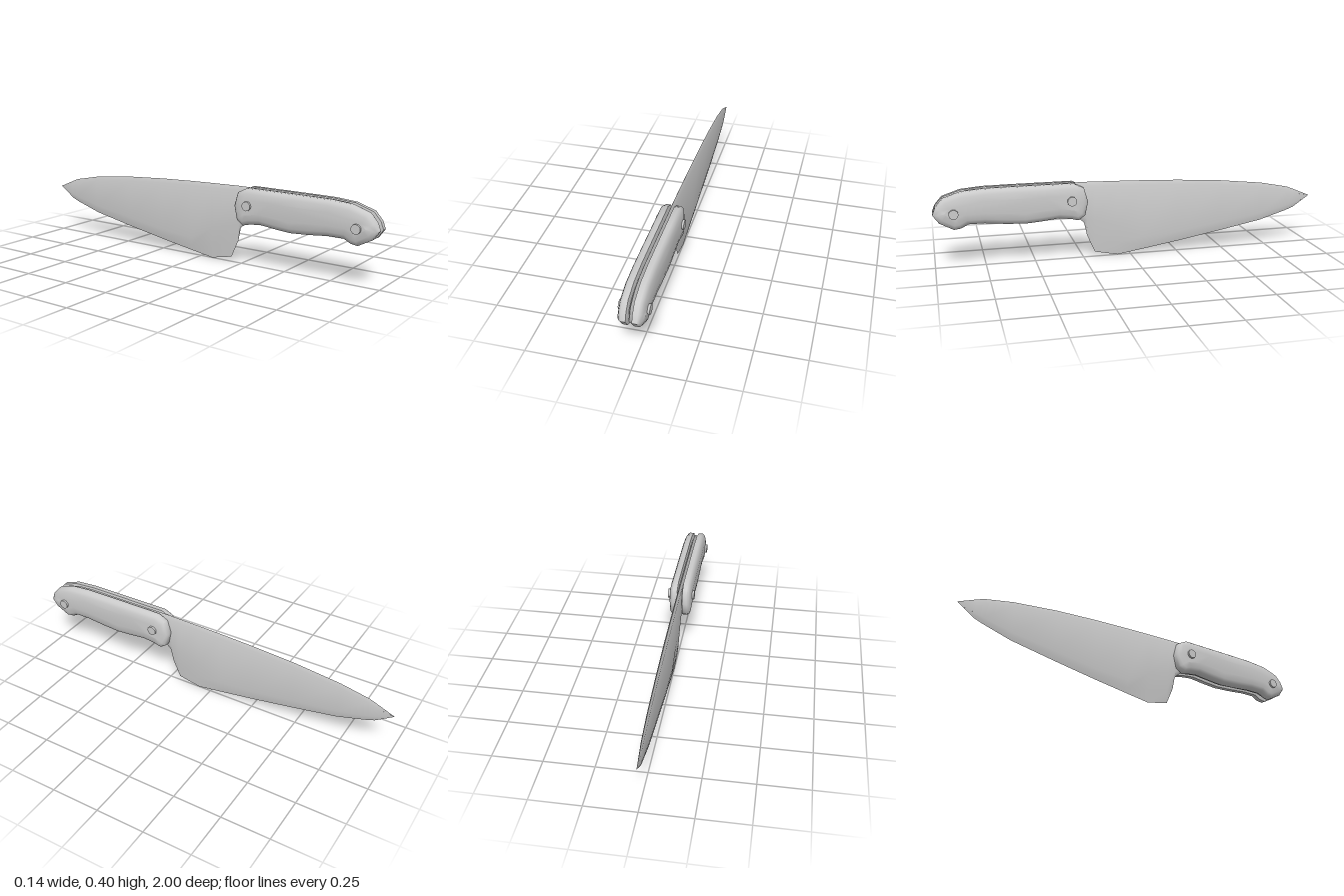
import * as THREE from 'three';
import { toCreasedNormals } from 'three/addons/utils/BufferGeometryUtils.js';

// Skin a list of equal-length closed rings; capFaces (triangles of ring indices) closes both ends.
function skin(rings, crease, flip = false, capFaces = []) {
  const n = rings[0].length, index = [];
  const tri = (a, b, c) => (flip ? index.push(a, c, b) : index.push(a, b, c));
  for (let i = 0; i < rings.length - 1; i++) {
    for (let j = 0; j < n; j++) {
      const a = i * n + j, b = i * n + (j + 1) % n;
      tri(a, b, a + n);
      tri(b, b + n, a + n);
    }
  }
  const last = (rings.length - 1) * n;
  for (const [a, b, c] of capFaces) {
    tri(last + a, last + b, last + c);
    tri(a, c, b);
  }
  const geometry = new THREE.BufferGeometry();
  geometry.setAttribute('position', new THREE.Float32BufferAttribute(rings.flat(2), 3));
  geometry.setIndex(index);
  return toCreasedNormals(geometry, crease);
}

// Move a [z, y] outline inward along its corner normals.
function inset(outline, d) {
  const n = outline.length;
  return outline.map(([z, y], i) => {
    const p = outline[(i + n - 1) % n], q = outline[(i + 1) % n];
    const a = new THREE.Vector2(z - p[0], y - p[1]).normalize();
    const b = new THREE.Vector2(q[0] - z, q[1] - y).normalize();
    const t = a.add(b).normalize();
    return [z + t.y * d, y - t.x * d];
  });
}

// Handle side outline [z, y], along the top to the butt, then back underneath.
const HANDLE = [
  [0.30, 0.405], [0.45, 0.405], [0.60, 0.405], [0.75, 0.404], [0.86, 0.395], [0.95, 0.365],
  [0.985, 0.325], [1.0, 0.287], [0.97, 0.245], [0.90, 0.208], [0.865, 0.213], [0.83, 0.232],
  [0.75, 0.232], [0.65, 0.222], [0.55, 0.216], [0.47, 0.222], [0.38, 0.232], [0.32, 0.225],
  [0.28, 0.215], [0.245, 0.24], [0.23, 0.31], [0.25, 0.38],
];

// Half-thickness and inset of each layer of a handle scale, from the tang outward.
const LAYERS = [[0.010, 0.02], [0.014, 0], [0.038, 0], [0.048, 0.008], [0.055, 0.024], [0.060, 0.055]];

function handleScale(side) {
  const rings = LAYERS.map(([x, d]) => inset(HANDLE, d).map(([z, y]) => [side * x, y, z]));
  const flat = inset(HANDLE, 0.02).map(([z, y]) => new THREE.Vector2(y, z));
  return skin(rings, 0.95, side < 0, THREE.ShapeUtils.triangulateShape(flat, []));
}

// Blade and full tang stations: z, spine y, lower y, half-thickness, bevel height.
const BLADE = [
  [0.992, 0.288, 0.286, 0.001, 0.001],
  [0.96, 0.345, 0.248, 0.008, 0.02],
  [0.90, 0.378, 0.216, 0.009, 0.02],
  [0.83, 0.396, 0.236, 0.009, 0.02],
  [0.75, 0.402, 0.236, 0.009, 0.02],
  [0.55, 0.403, 0.221, 0.009, 0.02],
  [0.38, 0.403, 0.236, 0.009, 0.02],
  [0.28, 0.404, 0.222, 0.009, 0.02],
  [0.245, 0.404, 0.19, 0.009, 0.03],
  [0.23, 0.404, 0.12, 0.009, 0.09],
  [0.19, 0.403, 0.03, 0.009, 0.17],
  [0.07, 0.400, 0.005, 0.009, 0.16],
  [-0.06, 0.396, 0.025, 0.009, 0.07],
  [-0.25, 0.388, 0.055, 0.009, 0.055],
  [-0.48, 0.373, 0.095, 0.008, 0.05],
  [-0.72, 0.346, 0.14, 0.007, 0.04],
  [-0.87, 0.316, 0.185, 0.006, 0.03],
  [-0.91, 0.300, 0.20, 0.005, 0.025],
  [-1.0, 0.262, 0.261, 0.0005, 0.0003],
];

function bladeGeometry() {
  const rings = BLADE.map(([z, top, low, w, bevel]) => {
    const s = Math.min(0.022, (top - low) * 0.3);
    return [
      [0, top, z], [w, top - s, z], [w, low + bevel, z], [w * 0.55, low + bevel * 0.4, z],
      [0, low, z], [-w * 0.55, low + bevel * 0.4, z], [-w, low + bevel, z], [-w, top - s, z],
    ];
  });
  return skin(rings, 0.5);
}

export function createModel() {
  const group = new THREE.Group();
  const material = new THREE.MeshStandardMaterial({ color: 0xcccccc });
  const add = (name, geometry) => {
    const mesh = new THREE.Mesh(geometry, material);
    mesh.name = name;
    group.add(mesh);
    return mesh;
  };

  add('bladeAndTang', bladeGeometry());
  add('leftHandleScale', handleScale(1));
  add('rightHandleScale', handleScale(-1));

  // Rivets run right through the handle
  for (const [name, y, z] of [['frontRivet', 0.322, 0.316], ['rearRivet', 0.292, 0.90]]) {
    const rivet = add(name, new THREE.CylinderGeometry(0.024, 0.024, 0.142, 12));
    rivet.rotation.z = Math.PI / 2;
    rivet.position.set(0, y, z);
  }
  return group;
}
